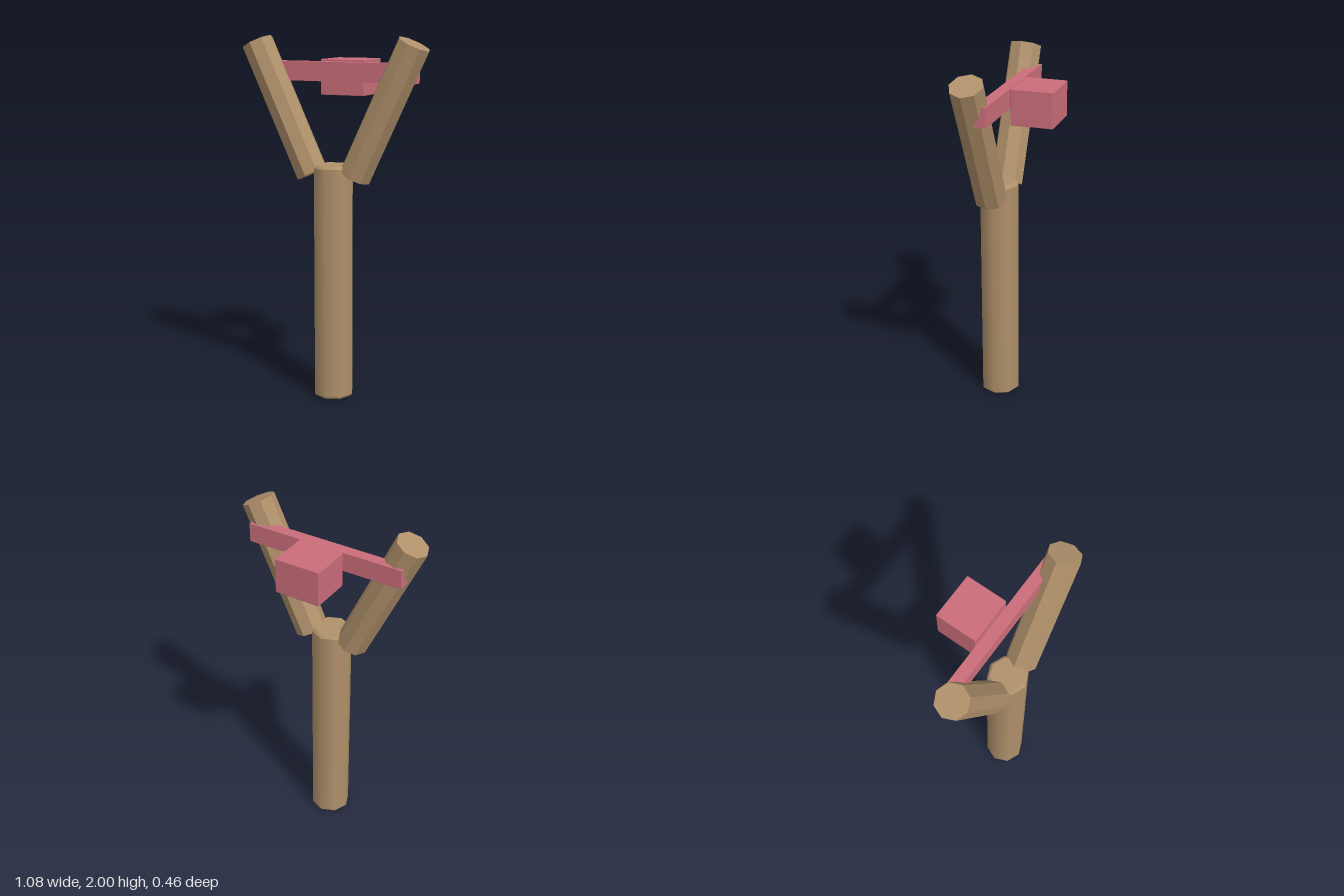
import * as THREE from 'three';
import { RoundedBoxGeometry } from 'three/addons/geometries/RoundedBoxGeometry.js';

export function createModel() {
  const model = new THREE.Group();
  model.name = 'slingshot';

  const wood = new THREE.MeshStandardMaterial({ name: 'wood', color: 0xb0916b });
  const rubber = new THREE.MeshStandardMaterial({ name: 'pink rubber', color: 0xcb6e7b });

  const add = (parent, name, geometry, material, x, y, z) => {
    const mesh = new THREE.Mesh(geometry, material);
    mesh.name = name;
    mesh.position.set(x, y, z);
    parent.add(mesh);
    return mesh;
  };

  const woodZ = 0.115;

  // Smooth eight-sided handle with chamfered ends
  const handle = new THREE.Group();
  handle.name = 'handle';
  model.add(handle);
  const r = 0.112, top = 1.31, c = 0.014;
  add(handle, 'handleShaft', new THREE.CylinderGeometry(r, r, top - 2 * c, 8, 1, true), wood, 0, top / 2, woodZ);
  add(handle, 'handleTop', new THREE.CylinderGeometry(r - c, r, c, 8), wood, 0, top - c / 2, woodZ);
  add(handle, 'handleBottom', new THREE.CylinderGeometry(r, r - c, c, 8), wood, 0, c / 2, woodZ);

  // Faceted prongs, mirrored, leaning outwards
  const low = new THREE.Vector2(0.128, 1.253);
  const high = new THREE.Vector2(0.46, 1.962);
  const prongShape = new THREE.CylinderGeometry(0.09, 0.09, low.distanceTo(high), 8).toNonIndexed();
  prongShape.computeVertexNormals();
  const lean = Math.atan2(high.x - low.x, high.y - low.y);
  for (const side of [1, -1]) {
    const prong = add(model, side > 0 ? 'leftProng' : 'rightProng', prongShape, wood,
      side * (low.x + high.x) / 2, (low.y + high.y) / 2, woodZ);
    prong.rotation.z = -side * lean;
  }

  // Straight band running through both prongs
  add(model, 'band', new THREE.BoxGeometry(0.91, 0.105, 0.064), rubber, 0, 1.807, 0.05);

  // Pouch block just behind the band
  add(model, 'pouch', new RoundedBoxGeometry(0.258, 0.195, 0.233, 1, 0.004), rubber, 0, 1.773, -0.112);

  return model;
}
